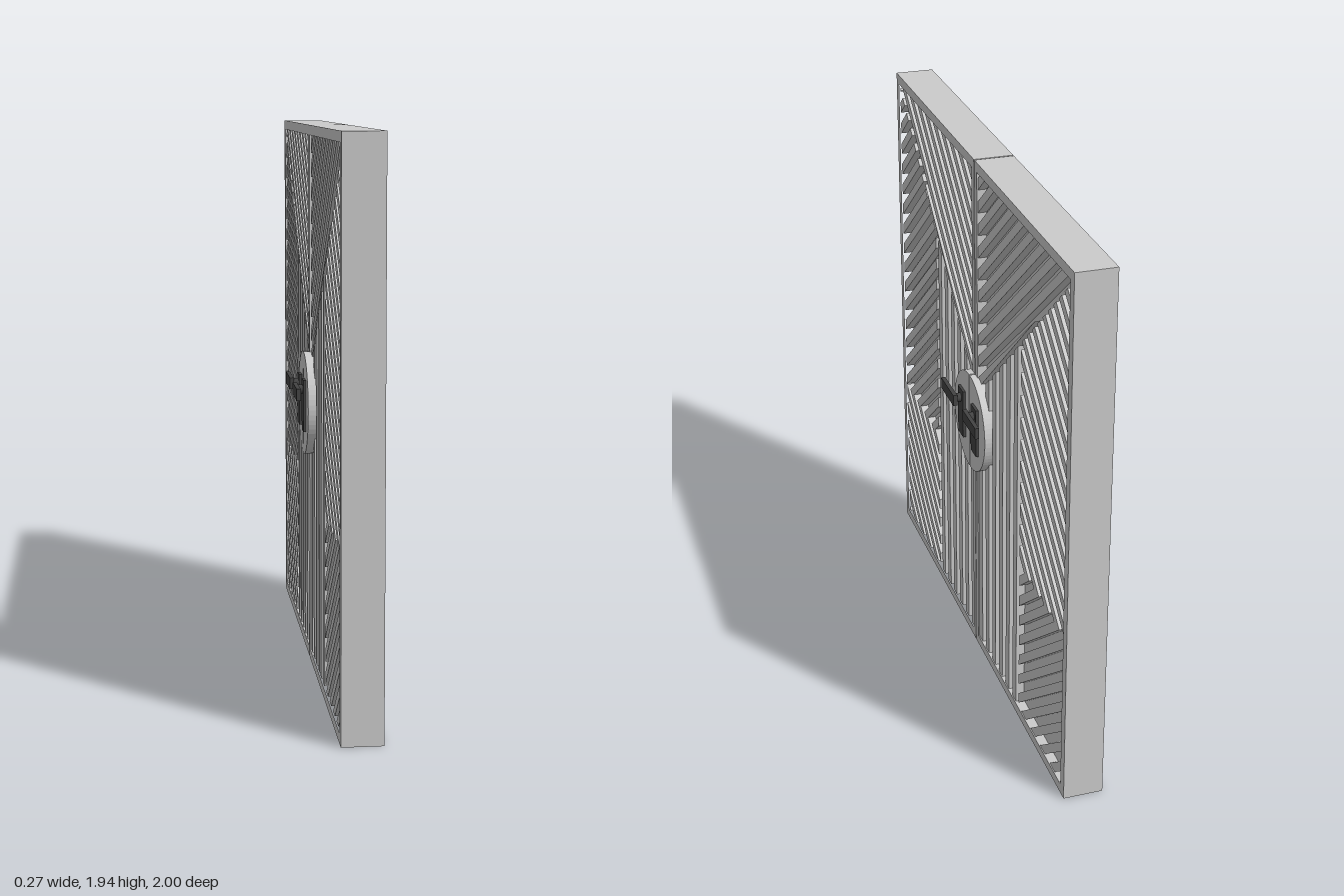
import * as THREE from 'three';
import { mergeGeometries } from 'three/addons/utils/BufferGeometryUtils.js';

const grey = new THREE.MeshStandardMaterial({ color: 0xcccccc });
const dark = new THREE.MeshStandardMaterial({ color: 0x444444 });

const TOP = 1.94, MID = 0.63;
const IN = 0.03, OUT = 0.965, LOW = 0.035, HIGH = 1.905;
const STILE = 0.5, SLOPE = 0.8, PITCH = 0.083;
// diagonal that divides the top field from the fields below
const DIAG = 0.87, DIAG0 = 1.063;

// keep the part of a polygon where a*u + b*y <= c
function clip(poly, [a, b, c]) {
  const out = [];
  poly.forEach((p, i) => {
    const q = poly[(i + 1) % poly.length];
    const dp = a * p[0] + b * p[1] - c, dq = a * q[0] + b * q[1] - c;
    if (dp <= 0) out.push(p);
    if (dp * dq < 0) {
      const t = dp / (dp - dq);
      out.push([p[0] + t * (q[0] - p[0]), p[1] + t * (q[1] - p[1])]);
    }
  });
  return out;
}

const box = (u0, u1, y0, y1) => [[u0, y0], [u1, y0], [u1, y1], [u0, y1]];

// sloping strips y = c + slope * u, each half a pitch high, trimmed to a field
function strips(slope, limits) {
  const list = [];
  for (let c = -2; c < 3; c += PITCH) {
    const strip = [[0, c], [1, c + slope], [1, c + slope + PITCH / 2], [0, c + PITCH / 2]];
    const poly = limits.reduce(clip, strip);
    if (poly.length > 2) list.push(poly);
  }
  return list;
}

// outline in (u, y), u = distance from the middle, pushed out to both faces
function slab(poly, side, half, holes = []) {
  const pts = l => l.map(([u, y]) => new THREE.Vector2(-side * u, y));
  const shape = new THREE.Shape(pts(poly));
  holes.forEach(h => shape.holes.push(new THREE.Path(pts(h))));
  const g = new THREE.ExtrudeGeometry(shape, { depth: 2 * half, bevelEnabled: false });
  return g.translate(0, 0, -half).rotateY(Math.PI / 2);
}

function add(parent, name, geometry, material = grey) {
  const m = new THREE.Mesh(geometry, material);
  m.name = name;
  parent.add(m);
  return m;
}

// plate, spindle and lever on one face of a leaf
function makeHandle(face, side) {
  const h = new THREE.Group();
  h.name = 'handle';
  const put = (name, g, x, y, u) => add(h, name, g, dark).position.set(face * x, y, side * u);
  put('handlePlate', new THREE.BoxGeometry(0.012, 0.185, 0.062), 0.096, 0.952, 0.078);
  const spindle = new THREE.CylinderGeometry(0.016, 0.016, 0.03, 20).rotateZ(Math.PI / 2);
  put('handleSpindle', spindle, 0.113, 1.01, 0.078);
  put('handleLever', new THREE.BoxGeometry(0.015, 0.042, 0.155), 0.128, 1.01, 0.133);
  return h;
}

function makeLeaf(side) {
  const leaf = new THREE.Group();
  leaf.name = side > 0 ? 'frontLeaf' : 'backLeaf';

  add(leaf, 'frame', slab(box(0.003, 1, 0, TOP), side, 0.07, [box(IN, OUT, LOW, HIGH)]));
  add(leaf, 'corePanel', slab(box(IN, OUT, LOW, HIGH), side, 0.035));

  const field = [[-1, 0, -IN], [1, 0, OUT], [0, 1, HIGH], [0, -1, -LOW]];
  const aboveDiagonal = [DIAG, -1, -DIAG0 - 0.005];
  const belowDiagonal = [-DIAG, 1, DIAG0 - 0.012];
  const outer = [-1, 0, -STILE];

  const groups = {
    topSlats: strips(SLOPE, [...field, aboveDiagonal]),
    outerUpperSlats: strips(-SLOPE, [...field, outer, belowDiagonal, [0, -1, -MID]]),
    // mirror image below the chevron line
    outerLowerSlats: strips(-SLOPE, [[1, 0, OUT], outer, [0, -1, -MID], [0, 1, 2 * MID - LOW]])
      .map(p => p.map(([u, y]) => [u, 2 * MID - y])),
    verticalSlats: [],
  };
  for (let u = IN; u < 0.46; u += 0.08) {
    groups.verticalSlats.push(clip(box(u, u + 0.04, LOW, HIGH), belowDiagonal));
  }
  for (const [name, polys] of Object.entries(groups)) {
    add(leaf, name, mergeGeometries(polys.map(p => slab(p, side, 0.066))));
  }

  // half of the round lock plate, standing proud on both faces
  const arc = [];
  for (let i = 0; i <= 32; i++) {
    const a = -Math.PI / 2 + Math.PI * i / 32;
    arc.push([0.003 + 0.182 * Math.cos(a), 0.95 + 0.185 * Math.sin(a)]);
  }
  add(leaf, 'lockPlate', slab(arc, side, 0.092));

  for (const face of [1, -1]) leaf.add(makeHandle(face, side));
  return leaf;
}

export function createModel() {
  const model = new THREE.Group();
  model.name = 'doubleDoor';
  model.add(makeLeaf(1), makeLeaf(-1));
  return model;
}
